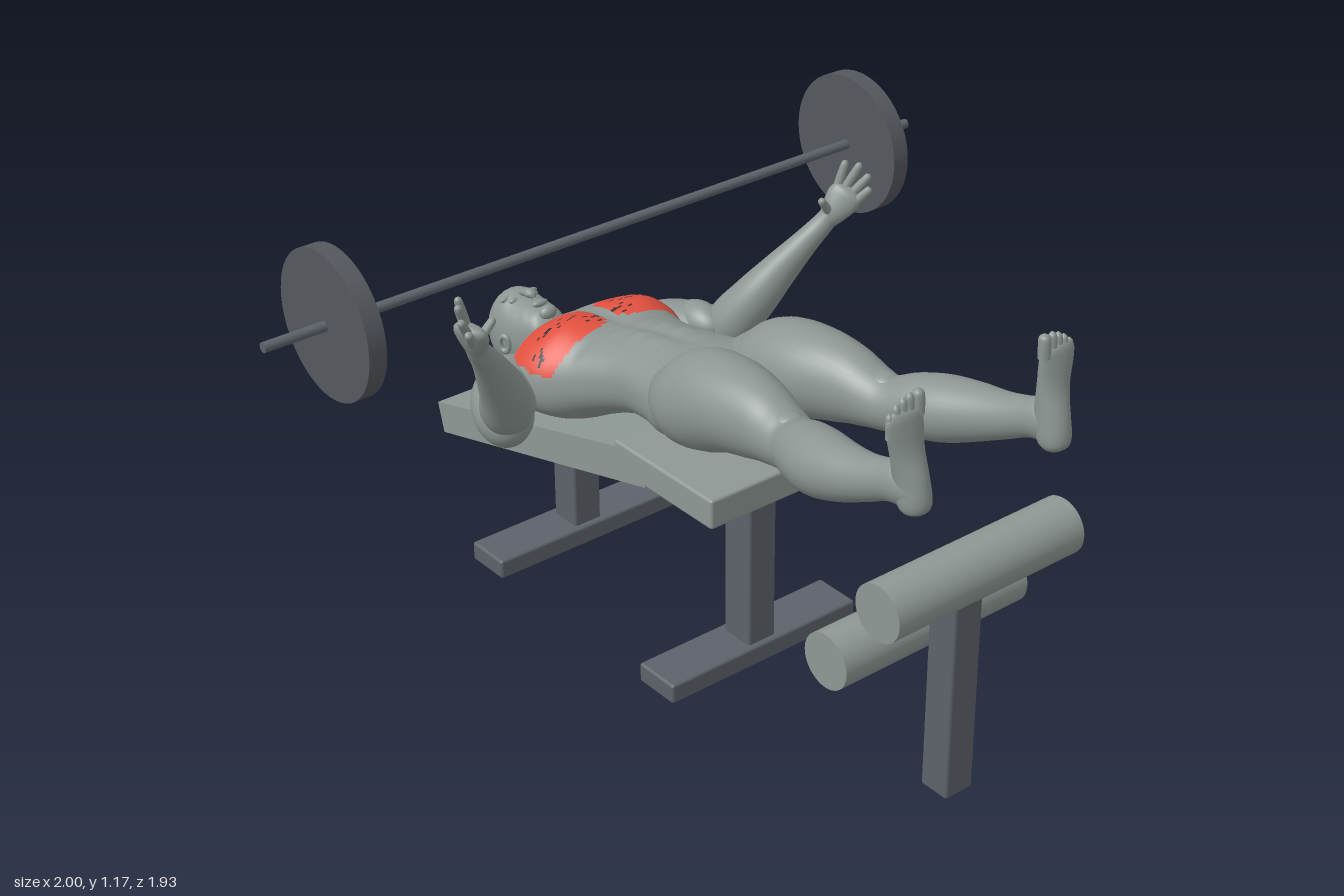
import * as THREE from 'three';
import { RoundedBoxGeometry } from 'three/addons/geometries/RoundedBoxGeometry.js';

const mat = (name, color) => {
  const m = new THREE.MeshStandardMaterial({ color });
  m.name = name;
  return m;
};

// Loft through [x, y, z, a, b] sections: elliptical rings across a smooth path.
// shape(p) may displace a point, pick(p) may choose a material index per face.
function loft(pts, { ref = [0, 1, 0], rows = 40, sides = 28, power = 1, shape, pick } = {}) {
  const path = new THREE.CatmullRomCurve3(pts.map(p => new THREE.Vector3(p[0], p[1], p[2])), false, 'catmullrom');
  const size = new THREE.CatmullRomCurve3(pts.map(p => new THREE.Vector3(p[3], p[4], 0)), false, 'catmullrom');
  const up = new THREE.Vector3(...ref);
  const pos = [], faces = [[], [], []];
  const pow = v => Math.sign(v) * Math.abs(v) ** power;
  const verts = [];
  for (let i = 0; i <= rows; i++) {
    const c = path.getPoint(i / rows), r = size.getPoint(i / rows), t = path.getTangent(i / rows);
    const u = new THREE.Vector3().crossVectors(up, t).normalize();
    const v = new THREE.Vector3().crossVectors(t, u);
    for (let j = 0; j < sides; j++) {
      const k = j / sides * Math.PI * 2;
      const p = c.clone().addScaledVector(u, Math.max(r.x, 0.0005) * pow(Math.cos(k)))
        .addScaledVector(v, Math.max(r.y, 0.0005) * pow(Math.sin(k)));
      if (shape) shape(p, Math.sin(k));
      verts.push(p);
      pos.push(p.x, p.y, p.z);
    }
  }
  for (let i = 0; i < rows; i++) for (let j = 0; j < sides; j++) {
    const n = (j + 1) % sides;
    const a = i * sides + j, b = i * sides + n, c = a + sides, d = b + sides;
    const id = pick ? pick(verts[a].clone().add(verts[d]).multiplyScalar(0.5)) : 0;
    faces[id].push(a, b, c, b, d, c);
  }
  const g = new THREE.BufferGeometry();
  g.setAttribute('position', new THREE.Float32BufferAttribute(pos, 3));
  g.setIndex(faces.flat());
  let start = 0;
  if (pick) faces.forEach((f, i) => { g.addGroup(start, f.length, i); start += f.length; });
  g.computeVertexNormals();
  return g;
}

export function createModel() {
  const skin = mat('figure grey', 0x8c9693), pad = mat('pad grey', 0x8e9894);
  const steel = mat('frame steel', 0x5d626a), iron = mat('weight iron', 0x54585e);
  const red = mat('muscle red', 0xe0503f), dark = mat('muscle shadow', 0x3f2f2e);
  const model = new THREE.Group();
  model.name = 'inclinePress';
  const add = (name, geo, material, x = 0, y = 0, z = 0) => {
    const m = new THREE.Mesh(geo, material);
    m.name = name;
    m.position.set(x, y, z);
    model.add(m);
    return m;
  };
  const box = (name, m, x, y0, y1, z0, z1, r = 0.008) =>
    add(name, new RoundedBoxGeometry(2 * x, y1 - y0, z1 - z0, 2, r), m, 0, (y0 + y1) / 2, (z0 + z1) / 2);
  const rod = (name, m, r, len, x, y, z) =>
    add(name, new THREE.CylinderGeometry(r, r, len, 48).rotateZ(Math.PI / 2), m, x, y, z);
  const ball = (name, m, x, y, z, a, b, c) =>
    add(name, new THREE.SphereGeometry(1, 24, 16).scale(a, b, c), m, x, y, z);

  // Bench: frame, seat and sloping back pad
  box('frontPost', steel, 0.043, 0, 0.5, 0.077, 0.175);
  box('frontFoot', steel, 0.3, 0, 0.055, 0.057, 0.19);
  box('backPost', steel, 0.043, 0, 0.46, -0.644, -0.55);
  box('backFoot', steel, 0.3, 0, 0.055, -0.665, -0.533);
  box('rollerPost', steel, 0.043, 0, 0.6, 0.804, 0.89);
  box('seatPad', pad, 0.19, 0.47, 0.552, -0.175, 0.206);
  const slope = new THREE.Shape([[-0.05, 0.47], [-0.05, 0.54], [-0.17, 0.535], [-0.965, 0.312], [-0.942, 0.228]]
    .map(p => new THREE.Vector2(...p)));
  add('backPad', new THREE.ExtrudeGeometry(slope, { depth: 0.38, bevelEnabled: false })
    .translate(0, 0, -0.19).rotateY(-Math.PI / 2), pad);
  rod('upperRoller', pad, 0.071, 0.57, 0, 0.632, 0.89);
  rod('lowerRoller', pad, 0.071, 0.57, 0, 0.417, 0.727);

  // Barbell
  rod('bar', steel, 0.013, 2, 0, 0.985, -0.42);
  for (const s of [1, -1]) rod('weightPlate', iron, 0.19, 0.048, s * 0.81, 0.985, -0.422);

  // Torso with chest and stomach relief; the chest muscles are red
  const bump = (x, z, cx, cz, rx, rz) => Math.exp(-(((x - cx) / rx) ** 2) - ((z - cz) / rz) ** 2);
  const relief = (p, side) => {
    if (side <= 0) return;
    const x = Math.abs(p.x), z = p.z;
    let d = 0.024 * bump(x, z, 0.13, -0.46, 0.09, 0.08) - 0.012 * bump(x, z, 0, -0.46, 0.018, 0.09);
    d -= 0.008 * bump(x, z, 0.1, -0.365, 0.1, 0.018);
    if (z > -0.36 && z < -0.08) {
      const fade = Math.sin((z + 0.36) / 0.28 * Math.PI);
      d += fade * 0.008 * Math.abs(Math.sin((z + 0.36) / 0.07 * Math.PI)) * bump(x, 0, 0.045, 0, 0.03, 1);
      d -= fade * 0.005 * bump(x, 0, 0, 0, 0.012, 1);
    }
    p.y += d * side;
  };
  const chestColour = p => {
    const x = Math.abs(p.x), inside = ((x - 0.128) / 0.108) ** 4 + ((p.z + 0.475) / 0.087) ** 4 < 1 && p.y > 0.635;
    if (!inside) return 0;
    const vein = Math.sin(70 * x + 4 * Math.sin(60 * p.z)) * Math.sin(95 * p.z + 4 * Math.sin(50 * x));
    return p.z > -0.51 && p.z < -0.42 && vein > 0.72 ? 2 : 1;
  };
  add('torso', loft([
    [0, 0.535, -0.68, 0.06, 0.06], [0, 0.54, -0.63, 0.105, 0.08], [0, 0.56, -0.58, 0.19, 0.105],
    [0, 0.58, -0.52, 0.245, 0.125], [0, 0.597, -0.44, 0.24, 0.13], [0, 0.622, -0.36, 0.2, 0.115],
    [0, 0.648, -0.28, 0.172, 0.105], [0, 0.67, -0.2, 0.156, 0.102], [0, 0.685, -0.1, 0.168, 0.103],
    [0, 0.695, -0.02, 0.188, 0.108], [0, 0.715, 0.04, 0.17, 0.095], [0, 0.73, 0.07, 0.08, 0.05],
    [0, 0.735, 0.08, 0, 0],
  ], { rows: 150, sides: 112, power: 0.85, shape: relief, pick: chestColour }), [skin, red, dark]);

  // Head and neck
  add('neck', loft([[0, 0.515, -0.8, 0.055, 0.06], [0, 0.53, -0.73, 0.066, 0.068], [0, 0.54, -0.66, 0.075, 0.075],
    [0, 0.55, -0.6, 0.12, 0.075]]), skin);
  add('head', loft([
    [0, 0.515, -0.926, 0, 0], [0, 0.515, -0.918, 0.035, 0.045], [0, 0.518, -0.885, 0.067, 0.088],
    [0, 0.527, -0.84, 0.081, 0.115], [0, 0.54, -0.79, 0.08, 0.11], [0, 0.56, -0.75, 0.073, 0.09],
    [0, 0.585, -0.715, 0.06, 0.066], [0, 0.605, -0.694, 0.042, 0.042], [0, 0.615, -0.683, 0, 0],
  ], { power: 0.92 }), skin);
  add('nose', loft([[0, 0.635, -0.835, 0.008, 0.008], [0, 0.648, -0.805, 0.011, 0.011], [0, 0.655, -0.778, 0.016, 0.013],
    [0, 0.645, -0.765, 0.005, 0.005]], { rows: 12, sides: 14 }), skin);
  ball('lips', skin, 0, 0.643, -0.738, 0.024, 0.01, 0.011);
  ball('chin', skin, 0, 0.63, -0.702, 0.026, 0.02, 0.018);

  for (const s of [1, -1]) {
    const limb = (name, pts, opts) => add(name, loft(pts.map(([x, ...r]) => [x * s, ...r]), opts), skin);
    ball('eye', skin, s * 0.032, 0.63, -0.812, 0.014, 0.009, 0.009);
    ball('brow', skin, s * 0.034, 0.628, -0.834, 0.026, 0.009, 0.008);
    const ear = add('ear', new THREE.TorusGeometry(0.02, 0.008, 8, 20).scale(0.75, 1.1, 1), skin, s * 0.085, 0.53, -0.785);
    ear.rotation.set(0, Math.PI / 2 - s * 0.35, 0);

    // Arm: shoulder, upper arm, forearm
    limb('shoulder', [[0.14, 0.56, -0.585, 0.03, 0.03], [0.2, 0.56, -0.565, 0.07, 0.07], [0.27, 0.56, -0.52, 0.084, 0.084],
      [0.32, 0.56, -0.46, 0.08, 0.08], [0.35, 0.565, -0.4, 0.068, 0.074], [0.365, 0.575, -0.355, 0.035, 0.04],
      [0.37, 0.578, -0.34, 0, 0]]);
    ball('biceps', skin, s * 0.31, 0.605, -0.45, 0.05, 0.052, 0.08);
    limb('forearm', [[0.315, 0.52, -0.42, 0, 0], [0.325, 0.535, -0.41, 0.035, 0.035], [0.36, 0.605, -0.385, 0.066, 0.066],
      [0.4, 0.69, -0.335, 0.062, 0.06], [0.45, 0.77, -0.295, 0.05, 0.046], [0.5, 0.845, -0.257, 0.036, 0.034],
      [0.54, 0.9, -0.23, 0.028, 0.028], [0.56, 0.935, -0.215, 0.025, 0.025]], { ref: [0, 0, -1] });

    // Open hand with spread fingers
    limb('palm', [[0.545, 0.9, -0.228, 0.022, 0.022], [0.56, 0.935, -0.212, 0.036, 0.026], [0.578, 0.97, -0.198, 0.045, 0.022],
      [0.588, 0.99, -0.19, 0.035, 0.016], [0.592, 1, -0.186, 0, 0]], { ref: [-1, 0, 0.5], rows: 16, sides: 16 });
    const fingers = [
      [0.575, 0.985, -0.222, 0.6, 1.065, -0.215], [0.588, 0.99, -0.205, 0.622, 1.062, -0.183],
      [0.595, 0.98, -0.187, 0.632, 1.035, -0.158], [0.595, 0.962, -0.173, 0.622, 1.005, -0.143],
      [0.55, 0.93, -0.215, 0.506, 0.985, -0.205],
    ];
    for (const [x, y, z, X, Y, Z] of fingers) {
      const at = (k, r) => [x + (X - x) * k, y + (Y - y) * k, z + (Z - z) * k, r, r];
      limb('finger', [at(-0.2, 0.012), at(0.3, 0.012), at(0.65, 0.011), at(0.92, 0.009), at(1, 0)],
        { ref: [0, 0, -1], rows: 12, sides: 10 });
    }

    // Leg
    limb('leg', [
      [0.09, 0.7, -0.06, 0.07, 0.07], [0.115, 0.737, 0.05, 0.113, 0.113], [0.122, 0.774, 0.13, 0.116, 0.126],
      [0.127, 0.8, 0.22, 0.11, 0.115], [0.135, 0.81, 0.32, 0.09, 0.1], [0.142, 0.808, 0.4, 0.074, 0.078],
      [0.15, 0.81, 0.46, 0.068, 0.067], [0.172, 0.828, 0.53, 0.077, 0.077], [0.192, 0.843, 0.6, 0.081, 0.079],
      [0.206, 0.865, 0.68, 0.07, 0.069], [0.211, 0.89, 0.76, 0.054, 0.056], [0.213, 0.917, 0.83, 0.042, 0.048],
      [0.214, 0.932, 0.885, 0.04, 0.05], [0.214, 0.93, 0.93, 0.03, 0.035], [0.214, 0.93, 0.945, 0, 0],
    ], { rows: 70, sides: 36 });
    ball('kneecap', skin, s * 0.147, 0.86, 0.43, 0.035, 0.022, 0.045);

    // Foot, sole facing forward, with toes on top
    limb('foot', [[0.21, 0.868, 0.918, 0, 0], [0.21, 0.878, 0.917, 0.026, 0.026], [0.211, 0.9, 0.914, 0.037, 0.041],
      [0.213, 0.955, 0.902, 0.038, 0.043], [0.219, 1.02, 0.893, 0.043, 0.03], [0.226, 1.08, 0.89, 0.051, 0.021],
      [0.228, 1.11, 0.889, 0.048, 0.015], [0.228, 1.125, 0.888, 0.02, 0.005]], { ref: [0, 0, -1] });
    for (let i = 0; i < 5; i++) {
      const r = i ? 0.011 - i * 0.0005 : 0.015;
      const x = 0.188 + (i ? 0.006 : 0) + i * 0.0185, top = 1.158 - i * i * 0.0022;
      limb('toe', [[x, top - 0.06, 0.889, r, r], [x, top - 0.025, 0.888, r, r], [x, top - 0.008, 0.886, r * 0.85, r * 0.85],
        [x, top, 0.885, 0, 0]], { ref: [0, 0, -1], rows: 10, sides: 10 });
    }
  }
  return model;
}
